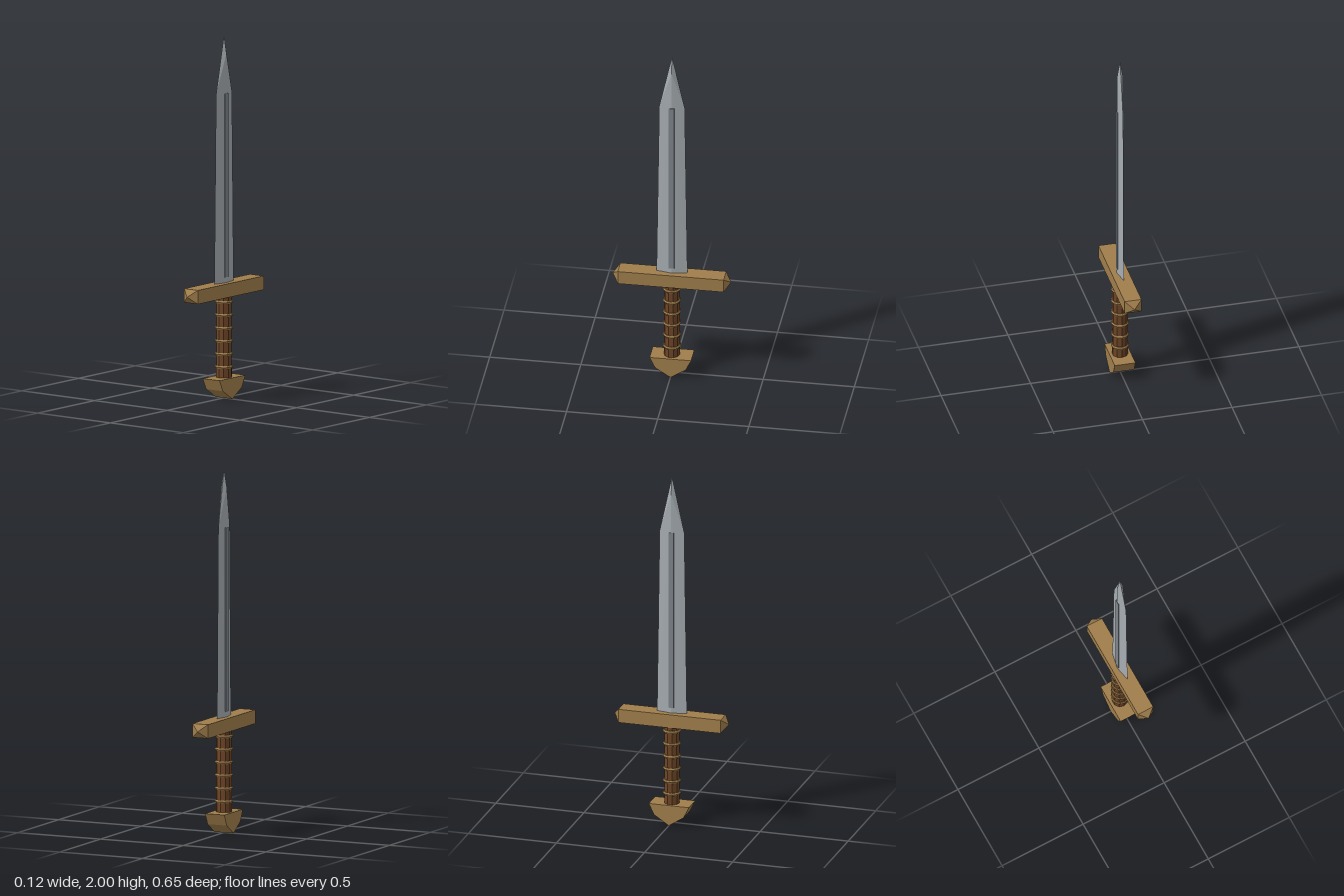
import * as THREE from 'three';

const flat = (name, color) => {
  const m = new THREE.MeshStandardMaterial({ color, flatShading: true });
  m.name = name;
  return m;
};

function addMesh(group, name, geometry, material, y = 0) {
  const mesh = new THREE.Mesh(geometry, material);
  mesh.name = name;
  mesh.position.y = y;
  group.add(mesh);
  return mesh;
}

// Diamond-section blade: ridges along +x and -x, cutting edges along +z and -z
function bladeGeometry() {
  const ring = (y, x, z, ridgeY = y) => [x, ridgeY, 0, 0, y, z, -x, ridgeY, 0, 0, y, -z];
  const points = [...ring(0.62, 0.018, 0.085), ...ring(1.68, 0.017, 0.07, 1.9), 0, 2, 0];
  const index = [0, 1, 2, 0, 2, 3];
  for (let i = 0; i < 4; i++) {
    const j = (i + 1) % 4;
    // the diagonal always starts at the ridge, so each side stays planar
    if (i % 2 === 0) index.push(i, i + 4, j, j, i + 4, j + 4);
    else index.push(i, j + 4, j, i, i + 4, j + 4);
    index.push(i + 4, 8, j + 4);
  }
  const g = new THREE.BufferGeometry();
  g.setAttribute('position', new THREE.Float32BufferAttribute(points, 3));
  g.setIndex(index);
  const out = g.toNonIndexed();
  out.computeVertexNormals();
  return out;
}

export function createModel() {
  const group = new THREE.Group();
  group.name = 'sword';
  const steel = flat('steel', 0xa6adb1);
  const darkSteel = flat('dark steel', 0x7d858c);
  const brass = flat('brass', 0xa07e4c);
  const leather = flat('leather', 0x6e4527);
  steel.side = THREE.DoubleSide;

  // Blade and its dark central strip
  addMesh(group, 'blade', bladeGeometry(), steel);
  addMesh(group, 'fuller', new THREE.BoxGeometry(0.037, 1.01, 0.03), darkSteel, 1.175);

  // Crossguard with pyramid ends
  addMesh(group, 'guard', new THREE.BoxGeometry(0.094, 0.076, 0.58), brass, 0.602);
  for (const s of [1, -1]) {
    const cap = new THREE.ConeGeometry(Math.SQRT1_2, 0.035, 4, 1, true);
    cap.rotateY(Math.PI / 4);
    cap.rotateX(s * Math.PI / 2);
    cap.scale(0.094, 0.076, 1);
    addMesh(group, s > 0 ? 'guardTipFront' : 'guardTipBack', cap, brass, 0.602)
      .position.z = s * 0.3075;
  }

  // Grip with evenly spaced rings
  addMesh(group, 'grip', new THREE.CylinderGeometry(0.042, 0.044, 0.46, 10), leather, 0.345);
  for (let i = 0; i < 6; i++) {
    const ring = new THREE.TorusGeometry(0.041, 0.0095, 6, 12);
    ring.rotateX(Math.PI / 2);
    addMesh(group, 'gripRing' + (i + 1), ring, brass, 0.178 + i * 0.0715);
  }

  // Pommel: pointed outline extruded across x
  const outline = new THREE.Shape([
    [-0.114, 0.12], [-0.084, 0.058], [0, 0.004], [0.084, 0.058], [0.114, 0.12],
  ].map(([z, y]) => new THREE.Vector2(z, y)));
  const pommel = new THREE.ExtrudeGeometry(outline, { depth: 0.116, bevelEnabled: false });
  pommel.translate(0, 0, -0.058);
  pommel.rotateY(Math.PI / 2);
  addMesh(group, 'pommel', pommel, brass);

  return group;
}
